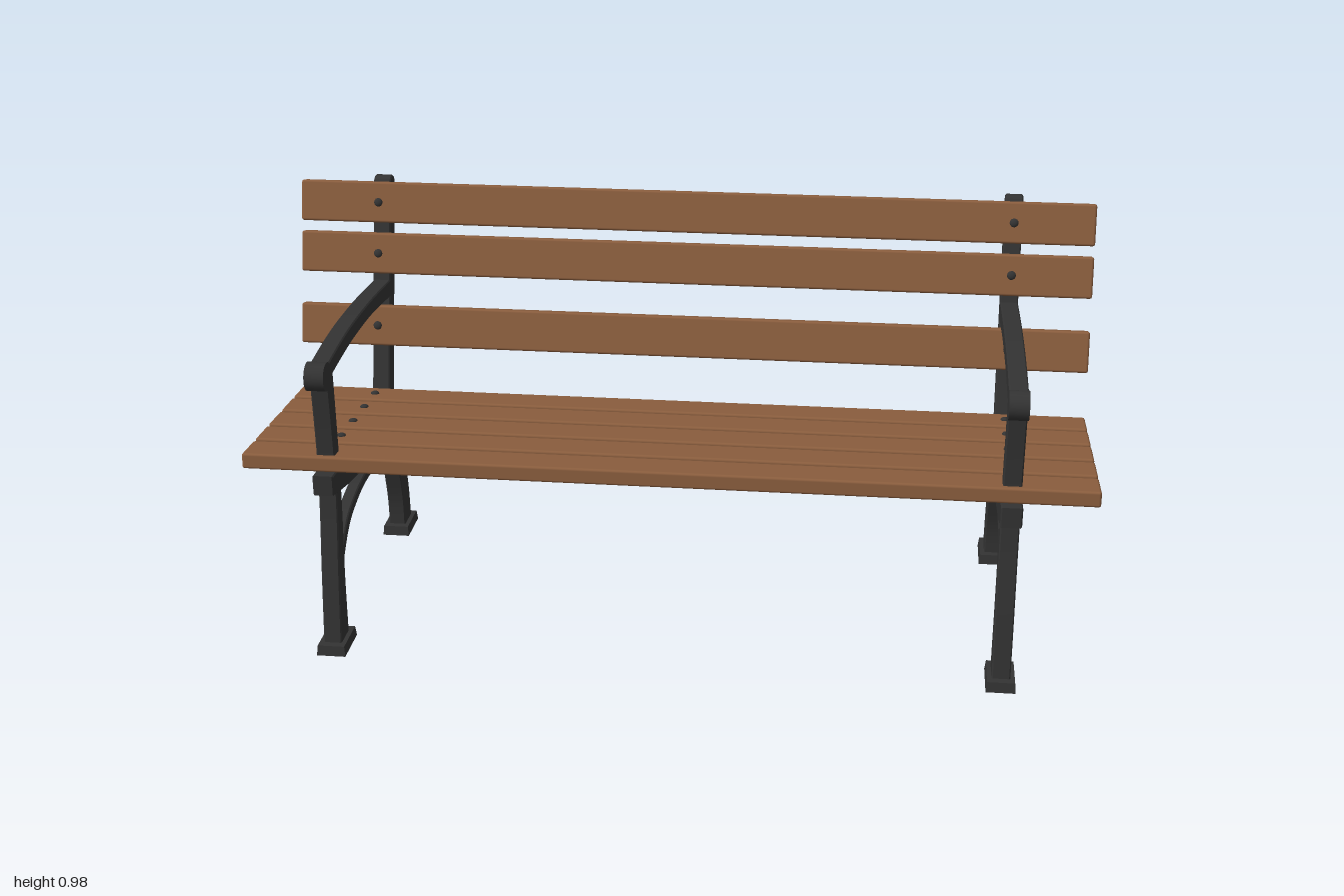
import * as THREE from 'three';
import { toCreasedNormals } from 'three/addons/utils/BufferGeometryUtils.js';
import { RoundedBoxGeometry } from 'three/addons/geometries/RoundedBoxGeometry.js';

const wood = new THREE.MeshStandardMaterial({ color: 0x8b5e3e });
wood.name = 'wood';
const iron = new THREE.MeshStandardMaterial({ color: 0x333333 });
iron.name = 'iron';

function mesh(name, geometry, material) {
  const m = new THREE.Mesh(geometry, material);
  m.name = name;
  return m;
}

// Side outline between two smooth edges, points given as [z, y]
function band(edgeA, edgeB) {
  const v = (list) => list.map(([z, y]) => new THREE.Vector2(z, y));
  const a = v(edgeA);
  const b = v(edgeB).reverse();
  const shape = new THREE.Shape();
  shape.moveTo(a[0].x, a[0].y);
  shape.splineThru(a.slice(1));
  shape.lineTo(b[0].x, b[0].y);
  shape.splineThru(b.slice(1));
  return shape;
}

// Extrude a side outline across x, centred, with a slight bevel
function cast(name, shape, width) {
  const bevel = 0.003;
  const g = new THREE.ExtrudeGeometry(shape, {
    depth: width - 2 * bevel, curveSegments: 10,
    bevelThickness: bevel, bevelSize: bevel, bevelOffset: -bevel, bevelSegments: 1,
  });
  g.translate(0, 0, bevel - width / 2);
  g.rotateY(-Math.PI / 2);
  return mesh(name, toCreasedNormals(g, 0.5), iron);
}

function foot(name, z) {
  const g = new THREE.CylinderGeometry(0.93 / Math.SQRT2, 1 / Math.SQRT2, 1, 4, 1).toNonIndexed();
  g.rotateY(Math.PI / 4);
  g.scale(0.07, 0.025, 0.112);
  g.computeVertexNormals();
  const m = mesh(name, g, iron);
  m.position.set(0, 0.0125, z);
  return m;
}

function sideFrame() {
  const frame = new THREE.Group();

  // Front leg running up into the arm support
  frame.add(cast('frontLeg', band(
    [[0.368, 0.02], [0.347, 0.2], [0.325, 0.36], [0.317, 0.5], [0.33, 0.7]],
    [[0.3, 0.02], [0.297, 0.18], [0.283, 0.35], [0.279, 0.5], [0.285, 0.71]]), 0.044));

  // Curved back leg
  frame.add(cast('backLeg', band(
    [[-0.3, 0.02], [-0.296, 0.1], [-0.27, 0.2], [-0.238, 0.3], [-0.215, 0.37], [-0.209, 0.43]],
    [[-0.368, 0.02], [-0.36, 0.11], [-0.337, 0.2], [-0.295, 0.3], [-0.266, 0.37], [-0.26, 0.43]]), 0.044));

  // Leaning back post with a rounded top
  const post = new THREE.Shape();
  post.moveTo(-0.258, 0.42);
  post.lineTo(-0.207, 0.42);
  post.absarc(-0.366, 0.961, 0.0235, 0.247, 0.247 + Math.PI, false);
  frame.add(cast('backPost', post, 0.044));

  // Bellied seat rail
  frame.add(cast('seatRail', band(
    [[0.355, 0.46], [-0.215, 0.427]],
    [[0.355, 0.41], [0.2, 0.377], [0.05, 0.356], [-0.08, 0.351], [-0.235, 0.361]]), 0.05));

  // Arched brace between the legs
  frame.add(cast('archBrace', band(
    [[0.31, 0.2], [0.225, 0.287], [0.125, 0.318], [0.025, 0.327], [-0.08, 0.319], [-0.18, 0.293], [-0.295, 0.215]],
    [[0.31, 0.165], [0.215, 0.258], [0.12, 0.292], [0.025, 0.302], [-0.08, 0.294], [-0.18, 0.263], [-0.295, 0.18]]), 0.03));

  // Armrest with a rounded front end
  frame.add(cast('armrest', band(
    [[0.34, 0.726], [0.2, 0.74], [0.07, 0.745], [-0.1, 0.741], [-0.3, 0.727]],
    [[0.34, 0.687], [0.2, 0.7], [0.07, 0.706], [-0.1, 0.702], [-0.3, 0.682]]), 0.044));
  const knob = mesh('armrestEnd', new THREE.CylinderGeometry(0.034, 0.034, 0.046, 28), iron);
  knob.rotation.z = Math.PI / 2;
  knob.position.set(0, 0.705, 0.338);
  frame.add(knob);

  frame.add(foot('frontFoot', 0.334), foot('backFoot', -0.334));
  return frame;
}

// Full-length plank with a domed bolt over each frame
function slat(name, y, z, height, thickness, tilt) {
  const group = new THREE.Group();
  group.name = name;
  group.add(mesh('plank', new RoundedBoxGeometry(2, thickness, height, 2, 0.006), wood));
  for (const x of [-0.8, 0.8]) {
    const bolt = mesh('bolt', new THREE.SphereGeometry(0.011, 14, 8), iron);
    bolt.scale.y = 0.6;
    bolt.position.set(x, thickness / 2, 0);
    group.add(bolt);
  }
  group.position.set(0, y, z);
  group.rotation.x = tilt;
  return group;
}

export function createModel() {
  const bench = new THREE.Group();
  bench.name = 'bench';

  for (const [name, x] of [['leftFrame', 0.8], ['rightFrame', -0.8]]) {
    const frame = sideFrame();
    frame.name = name;
    frame.position.x = x;
    bench.add(frame);
  }

  // Seat, sloping gently down to the back
  for (let i = 0; i < 5; i++) {
    bench.add(slat('seatSlat', 0.476 - 0.0073 * i, 0.285 - 0.109 * i, 0.094, 0.038, -0.068));
  }

  // Backrest, parallel to the posts
  for (const [y, z] of [[0.928, -0.312], [0.802, -0.281], [0.623, -0.235]]) {
    bench.add(slat('backSlat', y, z, 0.103, 0.035, Math.PI / 2 - 0.247));
  }
  return bench;
}
